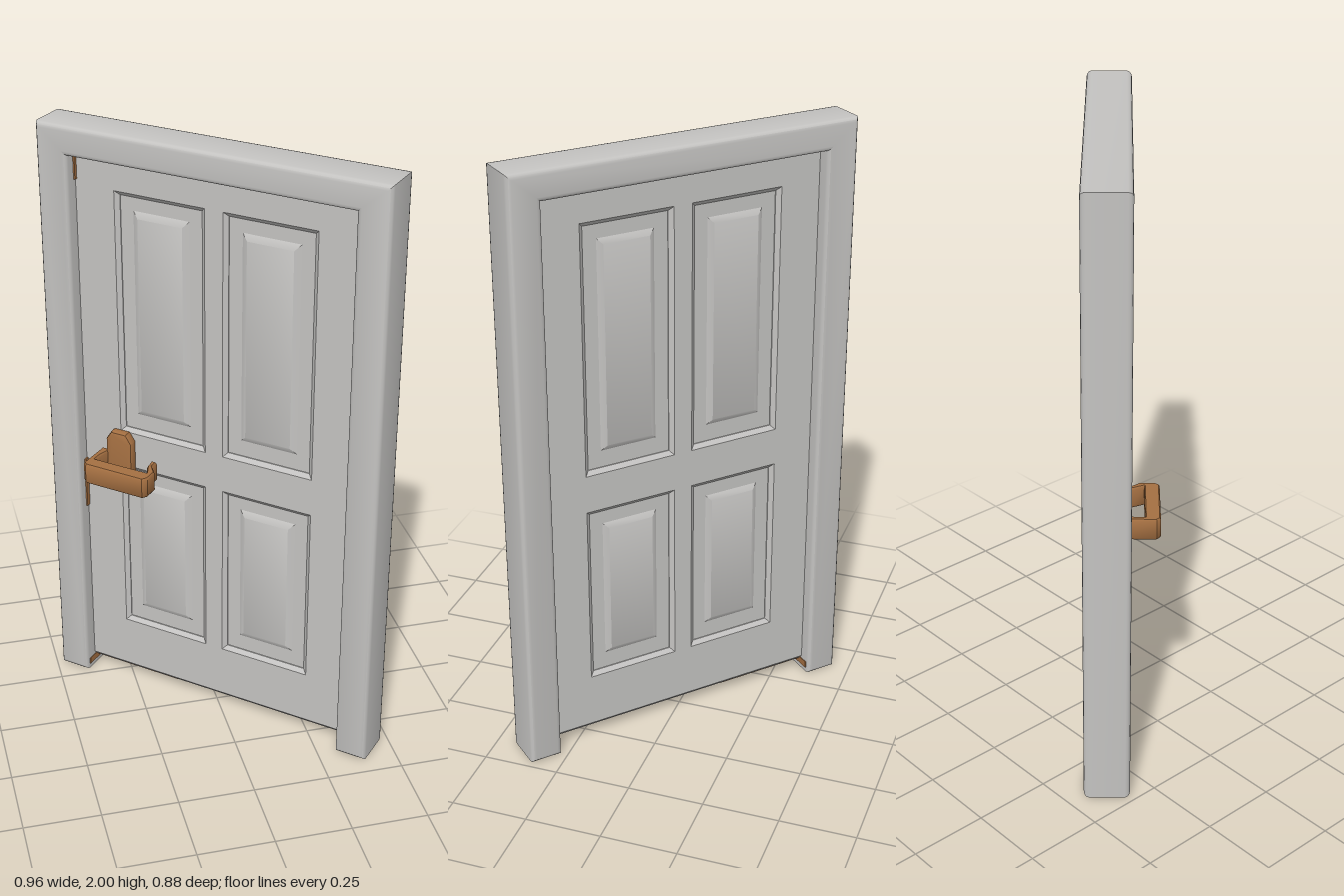
import * as THREE from 'three';
import { toCreasedNormals } from 'three/addons/utils/BufferGeometryUtils.js';

const paint = new THREE.MeshStandardMaterial({ color: 0xc4c3c1 });
paint.name = 'greyPaint';
const wood = new THREE.MeshStandardMaterial({ color: 0xa57042 });
wood.name = 'brownWood';

const outline = (points) => new THREE.Shape(points.map(([x, y]) => new THREE.Vector2(x, y)));
const rect = (x0, y0, x1, y1) => outline([[x0, y0], [x1, y0], [x1, y1], [x0, y1]]);

// Extrude a shape between z0 and z1 with an edge rounding that stays inside the outline
function slab(name, shape, z0, z1, size, thickness, segments, material) {
  const geometry = new THREE.ExtrudeGeometry(shape, {
    depth: z1 - z0 - 2 * thickness, bevelEnabled: true, bevelSize: size, bevelOffset: -size,
    bevelThickness: thickness, bevelSegments: segments, curveSegments: 8,
  });
  geometry.translate(0, 0, z0 + thickness);
  const mesh = new THREE.Mesh(toCreasedNormals(geometry, 0.6), material);
  mesh.name = name;
  return mesh;
}

function box(name, x0, x1, y0, y1, z0, z1, material) {
  const mesh = new THREE.Mesh(new THREE.BoxGeometry(x1 - x0, y1 - y0, z1 - z0), material);
  mesh.position.set((x0 + x1) / 2, (y0 + y1) / 2, (z0 + z1) / 2);
  mesh.name = name;
  return mesh;
}

export function createModel() {
  const model = new THREE.Group();
  model.name = 'door';

  // Frame: two jambs and a lintel in one rounded arch
  model.add(slab('frame', outline([
    [-0.587, 0], [-0.48, 0], [-0.48, 1.905], [0.48, 1.905],
    [0.48, 0], [0.587, 0], [0.587, 2], [-0.587, 2],
  ]), -0.073, 0.073, 0.016, 0.016, 3, paint));

  // Leaf: stiles and rails around four openings
  const leaf = rect(-0.5, 0.035, 0.5, 1.925);
  const rows = [[0.245, 0.835], [0.99, 1.79]];
  const panels = new THREE.Group();
  panels.name = 'panels';
  for (const [y0, y1] of rows) {
    for (const side of [-1, 1]) {
      const x0 = side < 0 ? -0.33 : 0.045;
      const x1 = x0 + 0.285;
      leaf.holes.push(rect(x0, y0, x1, y1));
      // Raised field, the same on both faces
      panels.add(slab('raisedPanel', rect(x0 + 0.045, y0 + 0.055, x1 - 0.045, y1 - 0.045),
        -0.021, 0.018, 0.02, 0.012, 1, paint));
    }
  }
  model.add(slab('leaf', leaf, -0.025, 0.021, 0.014, 0.012, 1, paint));
  model.add(box('panelBacking', -0.4, 0.4, 0.15, 1.85, -0.01, 0.006, paint));
  model.add(panels);

  // Handle: upright plate and a bracket-shaped grip
  const handle = new THREE.Group();
  handle.name = 'handle';
  const plate = outline([
    [-0.385, 0.79], [-0.365, 0.76], [-0.31, 0.76], [-0.29, 0.79],
    [-0.29, 0.95], [-0.31, 0.98], [-0.365, 0.98], [-0.385, 0.95],
  ]);
  handle.add(slab('handlePlate', plate, 0.015, 0.052, 0.01, 0.01, 2, wood));
  const grip = slab('handleGrip', outline([
    [-0.408, 0.035], [-0.375, 0.035], [-0.387, 0.085], [-0.387, 0.114], [-0.195, 0.114],
    [-0.215, 0.075], [-0.22, 0.04], [-0.2, 0.04], [-0.2, 0.068], [-0.174, 0.1],
    [-0.174, 0.145], [-0.186, 0.162], [-0.396, 0.162], [-0.409, 0.15],
  ]), 0.835, 0.905, 0.004, 0.006, 1, wood);
  // Turn the outline flat: its second axis becomes depth, its thickness becomes height
  const p = grip.geometry.attributes.position;
  const n = grip.geometry.attributes.normal;
  for (const a of [p, n]) {
    for (let i = 0; i < a.count; i++) a.setXYZ(i, a.getX(i), a.getZ(i), a.getY(i));
  }
  // Swapping two axes mirrors the faces, so reverse each triangle
  for (const a of [p, n]) {
    for (let i = 0; i < a.count; i += 3) {
      const b = [a.getX(i + 1), a.getY(i + 1), a.getZ(i + 1)];
      a.setXYZ(i + 1, a.getX(i + 2), a.getY(i + 2), a.getZ(i + 2));
      a.setXYZ(i + 2, ...b);
    }
  }
  handle.add(grip);
  model.add(handle);

  // Bare wood showing under the handle-side foot, the leaf and in the corner
  model.add(
    box('footSole', -0.57, -0.497, 0, 0.003, -0.056, 0.056, wood),
    box('footSide', -0.481, -0.477, 0.017, 0.04, -0.055, 0.055, wood),
    box('leafSole', -0.478, -0.15, 0.033, 0.036, -0.012, 0.008, wood),
    box('lowerCornerStrip', -0.481, -0.475, 0.66, 0.84, 0.012, 0.036, wood),
    box('upperCornerStrip', -0.481, -0.475, 1.82, 1.9, 0.012, 0.032, wood),
  );

  // The whole door stands turned about the upright axis
  model.rotation.y = -THREE.MathUtils.degToRad(42.1);
  const root = new THREE.Group();
  root.name = 'doorRoot';
  root.add(model);
  return root;
}
